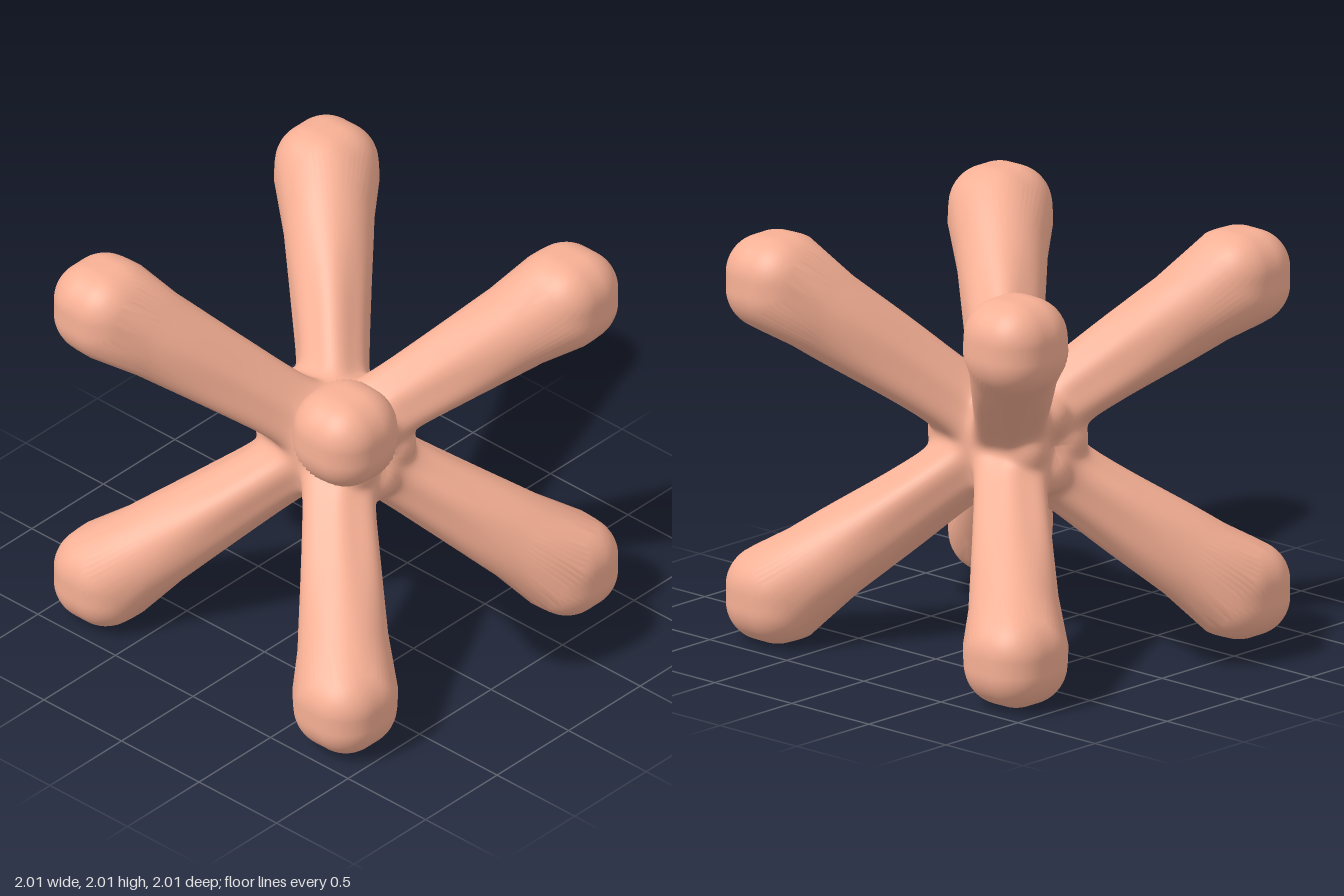
import * as THREE from 'three';

const RINGS = 110, SEGS = 60, BLEND = 0.03;
const SIGNS = [];
for (const x of [1, -1]) for (const y of [1, -1]) for (const z of [1, -1]) SIGNS.push([x, y, z]);

// Arm along (sx, sy, sz): thicker towards its tip, with three soft ridges that fade out
function armDistance(p, [sx, sy, sz]) {
  const x = p.x * sx, y = p.y * sy, z = p.z * sz;
  const along = (x + y + z) / 3;
  const t = THREE.MathUtils.clamp(along, 0, 0.72);
  const phi = Math.atan2((y - z) * Math.SQRT1_2, (2 * x - y - z) / Math.sqrt(6));
  const ridge = (0.06 * Math.cos(3 * phi) + 0.03 * Math.cos(6 * phi)) * (1 - THREE.MathUtils.smoothstep(along, 0.3, 0.65));
  const radius = 0.17 + 0.05 * THREE.MathUtils.smoothstep(t, 0.15, 0.7);
  return Math.hypot(x - t, y - t, z - t) - radius * (1 + ridge);
}

// Rounded knob at the tip of every arm
function knobDistance(p) {
  const half = 0.225, round = 0.185;
  const q = [p.x, p.y, p.z].map(v => Math.abs(Math.abs(v) - 0.775) - (half - round));
  const outside = Math.hypot(...q.map(v => Math.max(v, 0)));
  return outside + Math.min(Math.max(...q), 0) - round;
}

// Web filling the notch between two neighbouring arms at the front and back
function webDistance(u, v, w) {
  const t = THREE.MathUtils.clamp((u * 0.14 + w * 0.265) / (0.14 ** 2 + 0.265 ** 2), 0, 1);
  return Math.hypot(u - 0.14 * t, v, w - 0.265 * t) - 0.085;
}

// Smooth union of arms, knobs and webs
function distance(p) {
  const x = Math.abs(p.x), y = Math.abs(p.y), z = Math.abs(p.z);
  const parts = [knobDistance(p), webDistance(x, y, z), webDistance(y, x, z)];
  for (const s of SIGNS) parts.push(armDistance(p, s));
  return -BLEND * Math.log(parts.reduce((sum, d) => sum + Math.exp(-d / BLEND), 0));
}

function surfacePoint(dir) {
  let lo = 0, hi = 1.8;
  const p = new THREE.Vector3();
  for (let i = 0; i < 26; i++) {
    const mid = (lo + hi) / 2;
    if (distance(p.copy(dir).multiplyScalar(mid)) < 0) lo = mid; else hi = mid;
  }
  return p.copy(dir).multiplyScalar(lo);
}

function surfaceNormal(p) {
  const e = 0.006, n = new THREE.Vector3();
  for (const axis of ['x', 'y', 'z']) {
    const a = p.clone(), b = p.clone();
    a[axis] += e;
    b[axis] -= e;
    n[axis] = distance(a) - distance(b);
  }
  return n.normalize();
}

// Rings around the diagonal, from the tip out to the octant's border planes
function octantGrid() {
  const axis = new THREE.Vector3(1, 1, 1).normalize();
  const e1 = new THREE.Vector3(2, -1, -1).normalize();
  const e2 = new THREE.Vector3().crossVectors(axis, e1);
  const points = [], normals = [];
  for (let i = 0; i <= RINGS; i++) {
    for (let j = 0; j <= SEGS; j++) {
      const phi = (j / SEGS) * Math.PI * 2;
      const side = e1.clone().multiplyScalar(Math.cos(phi)).addScaledVector(e2, Math.sin(phi));
      const border = Math.atan(axis.x / -Math.min(side.x, side.y, side.z));
      const theta = border * Math.pow(i / RINGS, 1.3);
      const dir = axis.clone().multiplyScalar(Math.cos(theta)).addScaledVector(side, Math.sin(theta));
      const p = surfacePoint(dir);
      points.push(p);
      normals.push(surfaceNormal(p));
    }
  }
  return { points, normals };
}

function armGeometry({ points, normals }, [sx, sy, sz]) {
  const mirrored = sx * sy * sz < 0;
  const index = [], row = SEGS + 1;
  for (let i = 0; i < RINGS; i++) {
    for (let j = 0; j < SEGS; j++) {
      const a = i * row + j, b = a + row, c = b + 1, d = a + 1;
      const tris = i === 0 ? [[a, b, c]] : [[a, b, c], [a, c, d]];
      for (const [u, v, w] of tris) index.push(...(mirrored ? [u, w, v] : [u, v, w]));
    }
  }
  const flat = list => list.flatMap(v => [v.x * sx, v.y * sy, v.z * sz]);
  const geometry = new THREE.BufferGeometry();
  geometry.setAttribute('position', new THREE.Float32BufferAttribute(flat(points), 3));
  geometry.setAttribute('normal', new THREE.Float32BufferAttribute(flat(normals), 3));
  geometry.setIndex(index);
  return geometry;
}

export function createModel() {
  const group = new THREE.Group();
  group.name = 'eightArmedStar';
  const material = new THREE.MeshStandardMaterial({ color: 0xf7b095 });
  const grid = octantGrid();

  // One arm per octant, mirrored from a single grid
  for (const s of SIGNS) {
    const arm = new THREE.Mesh(armGeometry(grid, s), material);
    arm.name = (s[1] > 0 ? 'upper' : 'lower') + (s[2] > 0 ? 'Front' : 'Back') + (s[0] > 0 ? 'Left' : 'Right') + 'Arm';
    arm.position.y = 1;
    group.add(arm);
  }
  return group;
}
